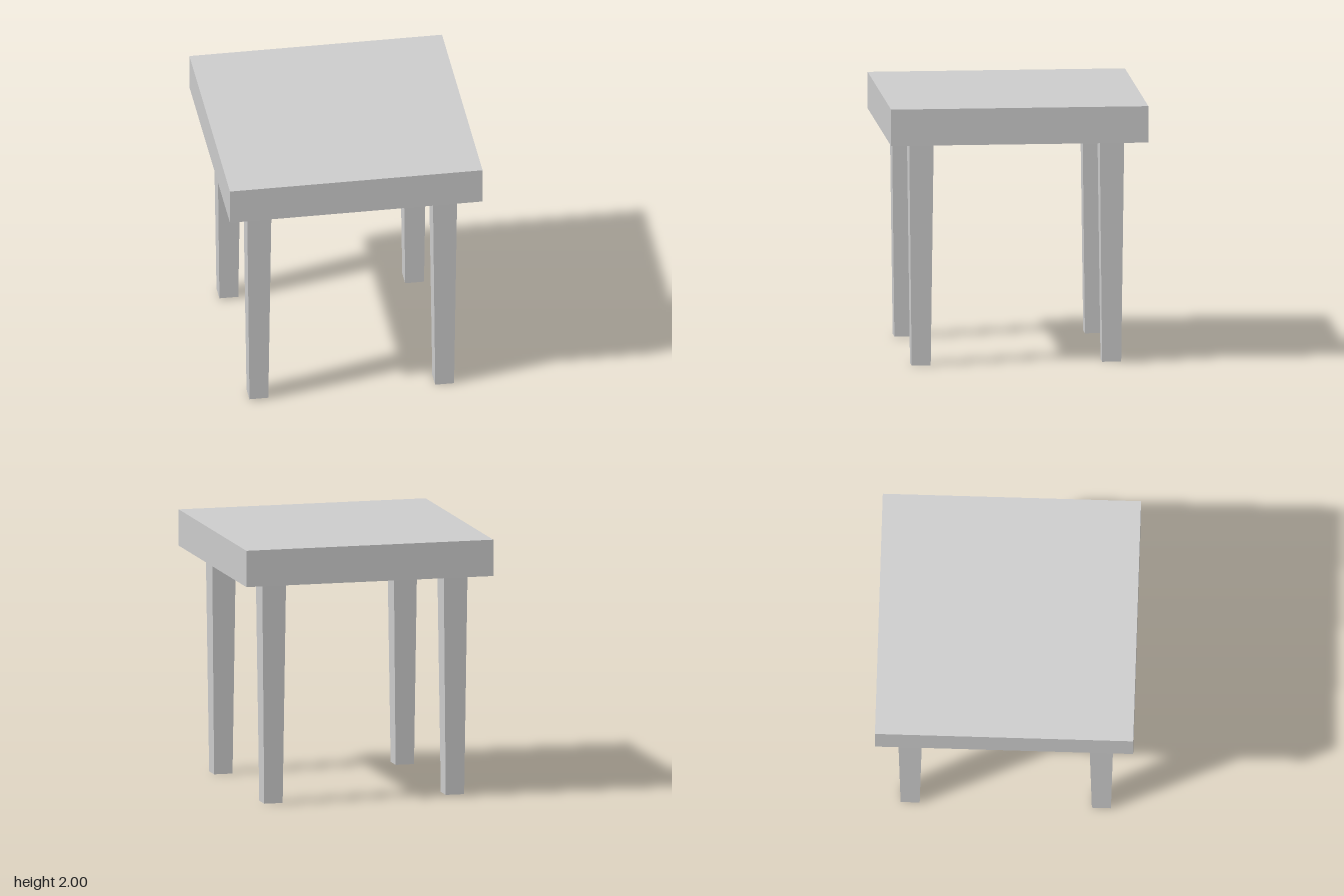
import * as THREE from 'three';

const material = new THREE.MeshStandardMaterial({ color: 0xcccccc, flatShading: true });
const openMaterial = new THREE.MeshStandardMaterial({
  color: 0xcccccc, flatShading: true, side: THREE.DoubleSide,
});

const TOP_UNDERSIDE = 1.72;

// Tapered square tube, open at the foot
function makeLeg(name, x, z, footY) {
  const height = TOP_UNDERSIDE - footY;
  const geometry = new THREE.CylinderGeometry(0.187 / Math.SQRT2, 0.145 / Math.SQRT2, height, 4, 1, true);
  geometry.rotateY(Math.PI / 4);
  const leg = new THREE.Mesh(geometry, openMaterial);
  leg.name = name;
  leg.position.set(x, footY + height / 2, z);
  return leg;
}

export function createModel() {
  const table = new THREE.Group();
  table.name = 'table';

  // Thick slab top
  const top = new THREE.Mesh(new THREE.BoxGeometry(1.945, 2 - TOP_UNDERSIDE, 1.965), material);
  top.name = 'tableTop';
  top.position.y = (2 + TOP_UNDERSIDE) / 2;
  table.add(top);

  // Legs, slightly uneven at the feet
  const legs = [
    ['frontLeftLeg', 0.708, 0.735, 0],
    ['frontRightLeg', -0.722, 0.735, 0.01],
    ['backLeftLeg', 0.708, -0.72, 0.01],
    ['backRightLeg', -0.722, -0.72, 0.015],
  ];
  for (const leg of legs) table.add(makeLeg(...leg));

  return table;
}
